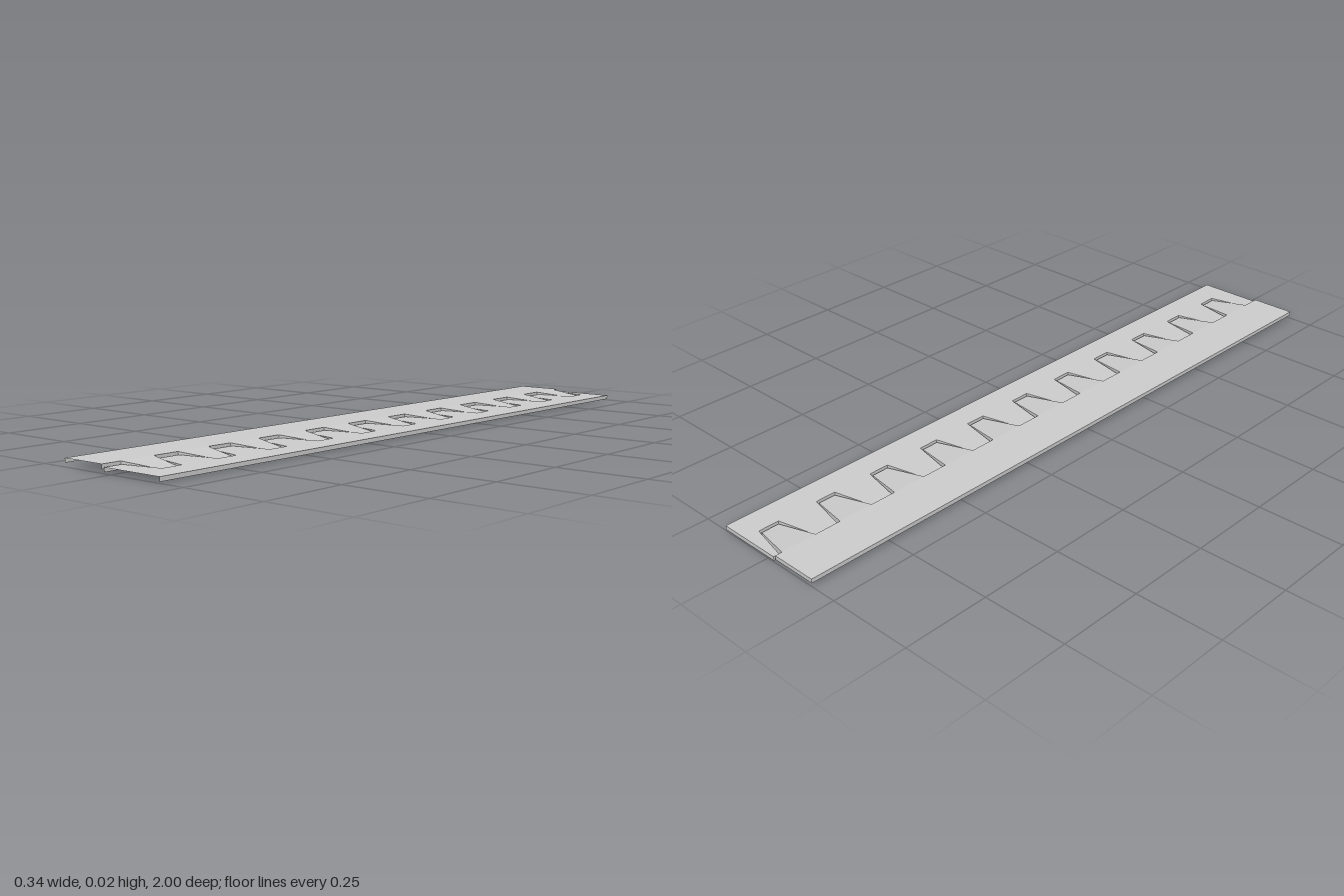
import * as THREE from 'three';

const COUNT = 11, PITCH = 2 / COUNT, HALF = 0.171;

// Piecewise-linear height along x
function profile(points) {
  return (x) => {
    if (x <= points[0][0]) return points[0][1];
    for (let i = 1; i < points.length; i++) {
      const [x0, y0] = points[i - 1], [x1, y1] = points[i];
      if (x <= x1) return y0 + (y1 - y0) * (x - x0) / (x1 - x0);
    }
    return points[points.length - 1][1];
  };
}

// Each half: outer edge, comb outline (root/tip x and z stations in a pitch), heights
const HIGH = {
  outer: -HALF, low: -0.032, high: 0.085, stations: [0.020, 0.046, 0.098, 0.124],
  stops: [-0.032, -0.022, 0, 0.085],
  top: profile([[-0.032, 0.0225], [0.085, 0.0115]]),
  bottom: profile([[-0.032, 0.0105], [-0.022, 0.004], [0, 0.0025], [0.085, 0]]),
};
const LOW = {
  outer: HALF, low: -0.024, high: 0.091, stations: [0.0165, 0.042, 0.103, 0.128],
  stops: [-0.024, 0.091],
  top: () => 0.0155, bottom: () => 0.0035,
};

// Comb edge as [x, z] points over one pitch
function combEdge(p, z) {
  const [a, b, c, d] = p.stations, out = [[p.low, z]];
  const flank = (s, e, stops) => stops.forEach((x) => {
    const t = (x - p.low) / (p.high - p.low);
    out.push([x, z + s + (e - s) * t]);
  });
  flank(a, b, p.stops);
  flank(d, c, [...p.stops].reverse());
  out.push([p.low, z + PITCH]);
  return out;
}

function buildMesh(name, quads) {
  const pos = [];
  for (const [a, b, c, d] of quads) pos.push(...a, ...b, ...c, ...a, ...c, ...d);
  const geo = new THREE.BufferGeometry();
  geo.setAttribute('position', new THREE.Float32BufferAttribute(pos, 3));
  geo.computeVertexNormals();
  const mesh = new THREE.Mesh(geo, new THREE.MeshStandardMaterial({
    color: 0xcccccc, flatShading: true, side: THREE.DoubleSide,
  }));
  mesh.name = name;
  return mesh;
}

function buildHalf(name, p) {
  const group = new THREE.Group();
  group.name = name;
  const sheet = [], comb = [], ribs = [], edge = [];
  const up = (x, z) => [x, p.top(x), z], down = (x, z) => [x, p.bottom(x), z];
  const wall = ([x0, z0], [x1, z1]) => [up(x0, z0), down(x0, z0), down(x1, z1), up(x1, z1)];
  const left = p.outer < 0;

  for (let i = 0; i < COUNT; i++) {
    const z = -1 + i * PITCH, pts = combEdge(p, z);
    // Top sheet, with the fingers of the raised half bending down from the root line
    if (left) sheet.push([up(p.outer, z), up(p.outer, z + PITCH), up(p.low, z + PITCH), up(p.low, z)]);
    for (let k = 1; k < pts.length; k++) {
      const [x0, z0] = pts[k - 1], [x1, z1] = pts[k];
      if (left) {
        if (x0 > p.low || x1 > p.low) sheet.push([up(p.low, z0), [p.low, p.top(p.low), z1], up(x1, z1), up(x0, z0)]);
      } else sheet.push([up(x0, z0), up(x1, z1), up(p.outer, z1), up(p.outer, z0)]);
      // Skirt following the comb outline
      if (z1 - z0 > 1e-6) comb.push(left ? wall(pts[k], pts[k - 1]) : wall(pts[k - 1], pts[k]));
    }
    // Cross rib at the start of each pitch
    const x0 = Math.min(p.outer, p.low), x1 = Math.max(p.outer, p.low);
    ribs.push(wall([x1, z], [x0, z]));
  }
  // Skirt along the straight outer side
  edge.push(left ? wall([p.outer, -1], [p.outer, 1]) : wall([p.outer, 1], [p.outer, -1]));

  // The raised half's finger sheet meets its root line at full height
  group.add(
    buildMesh('topSheet', sheet), buildMesh('combSkirt', comb),
    buildMesh('crossRibs', ribs), buildMesh('outerSkirt', edge),
  );
  return group;
}

export function createModel() {
  const model = new THREE.Group();
  model.name = 'combJointPlates';
  model.add(buildHalf('raisedPlate', HIGH), buildHalf('lowerPlate', LOW));
  return model;
}
